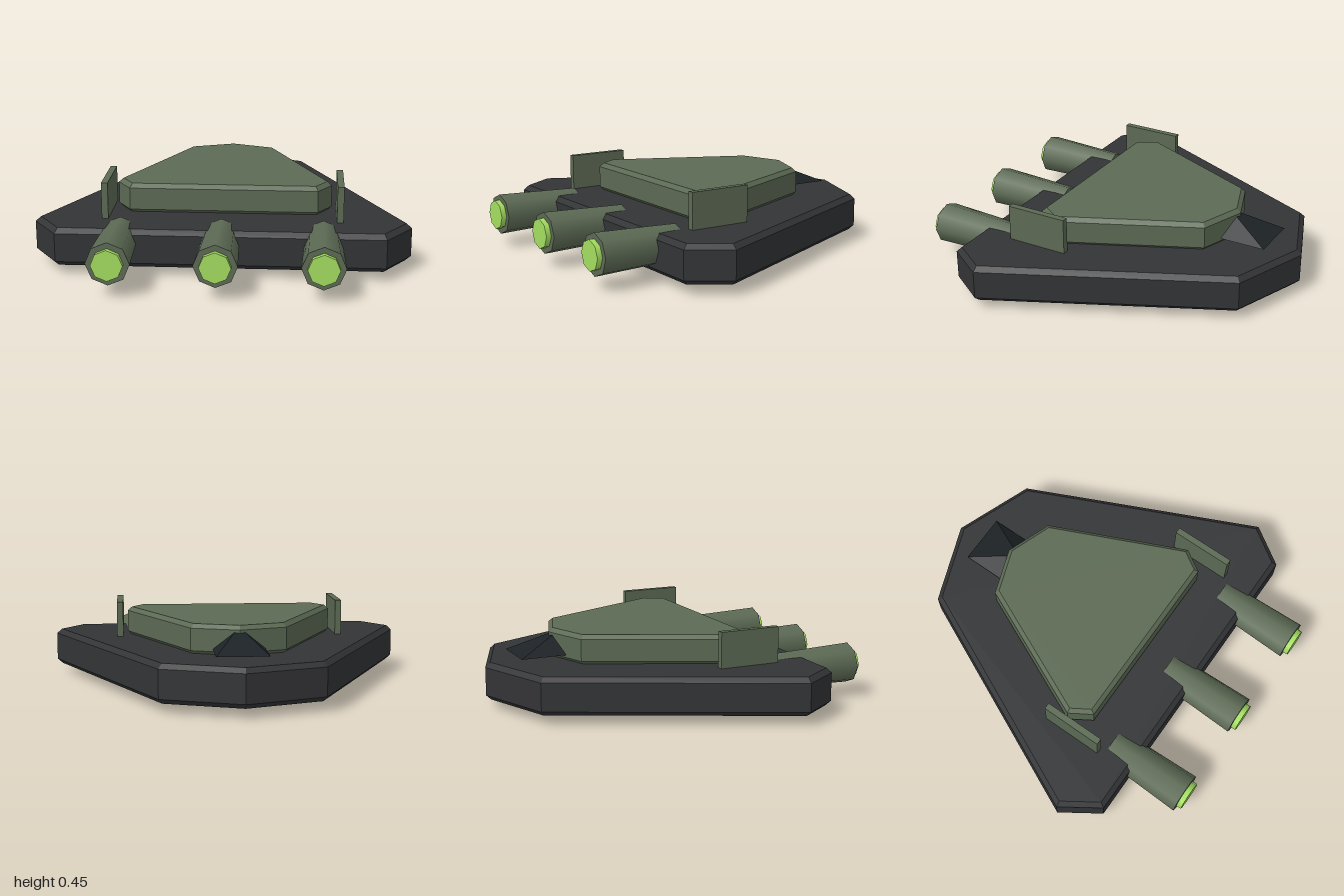
import * as THREE from 'three';

const mat = (color) => new THREE.MeshStandardMaterial({ color });

export function createModel() {
  const model = new THREE.Group();
  const dark = mat(0x333436), green = mat(0x5c6a54), glass = mat(0x1d2226), glow = mat(0xa4de60);

  const add = (name, geometry, material, x = 0, y = 0, z = 0, parent = model) => {
    const mesh = new THREE.Mesh(geometry, material);
    mesh.name = name;
    mesh.position.set(x, y, z);
    parent.add(mesh);
    return mesh;
  };

  // Bevelled slab from half an outline of (x, z) points, mirrored across x = 0
  const slab = (half, bottom, top, bevel) => {
    const mirrored = half.filter(([x]) => x > 0).reverse().map(([x, z]) => [-x, z]);
    const shape = new THREE.Shape([...half, ...mirrored].map(([x, z]) => new THREE.Vector2(x, -z)));
    const geometry = new THREE.ExtrudeGeometry(shape, {
      depth: top - bottom - 2 * bevel,
      bevelSize: bevel, bevelThickness: bevel, bevelOffset: -bevel, bevelSegments: 1,
    });
    return geometry.rotateX(-Math.PI / 2).translate(0, bottom + bevel, 0);
  };

  // Hull and raised upper deck
  add('hull', slab([[0, -0.975], [0.425, -0.815], [1, 0.43], [0.86, 0.64]], 0.05, 0.255, 0.026), dark);
  add('upperDeck', slab([[0, -0.615], [0.25, -0.525], [0.58, 0.205], [0.505, 0.325]], 0.25, 0.412, 0.022), green);

  // Four-sided canopy running into the deck
  const canopy = new THREE.ConeGeometry(Math.SQRT2, 1, 4).rotateY(Math.PI / 4).toNonIndexed();
  canopy.scale(0.137, 0.115, 0.265).computeVertexNormals();
  add('canopy', canopy, glass, 0, 0.343, -0.55);

  // Side fins
  for (const side of [-1, 1]) {
    add(side > 0 ? 'leftFin' : 'rightFin', new THREE.BoxGeometry(0.035, 0.2, 0.34), green, side * 0.623, 0.35, 0.273);
  }

  // Three octagonal engines with glowing ends
  for (const x of [-0.535, 0, 0.535]) {
    const engine = new THREE.Group();
    engine.name = 'engine';
    engine.position.set(x, 0.18, 0);
    model.add(engine);
    add('engineBarrel', new THREE.CylinderGeometry(0.112, 0.096, 0.47, 8).rotateX(Math.PI / 2), green, 0, 0, 0.712, engine);
    add('engineGlow', new THREE.CylinderGeometry(0.081, 0.081, 0.06, 8).rotateX(Math.PI / 2), glow, 0, 0, 0.945, engine);
  }

  // Belly hatch with a glowing panel
  add('bellyPlate', new THREE.BoxGeometry(0.47, 0.04, 0.62), green, 0, 0.04, -0.2);
  add('bellyGlow', new THREE.BoxGeometry(0.34, 0.03, 0.5), glow, 0, 0.015, -0.2);

  return model;
}
